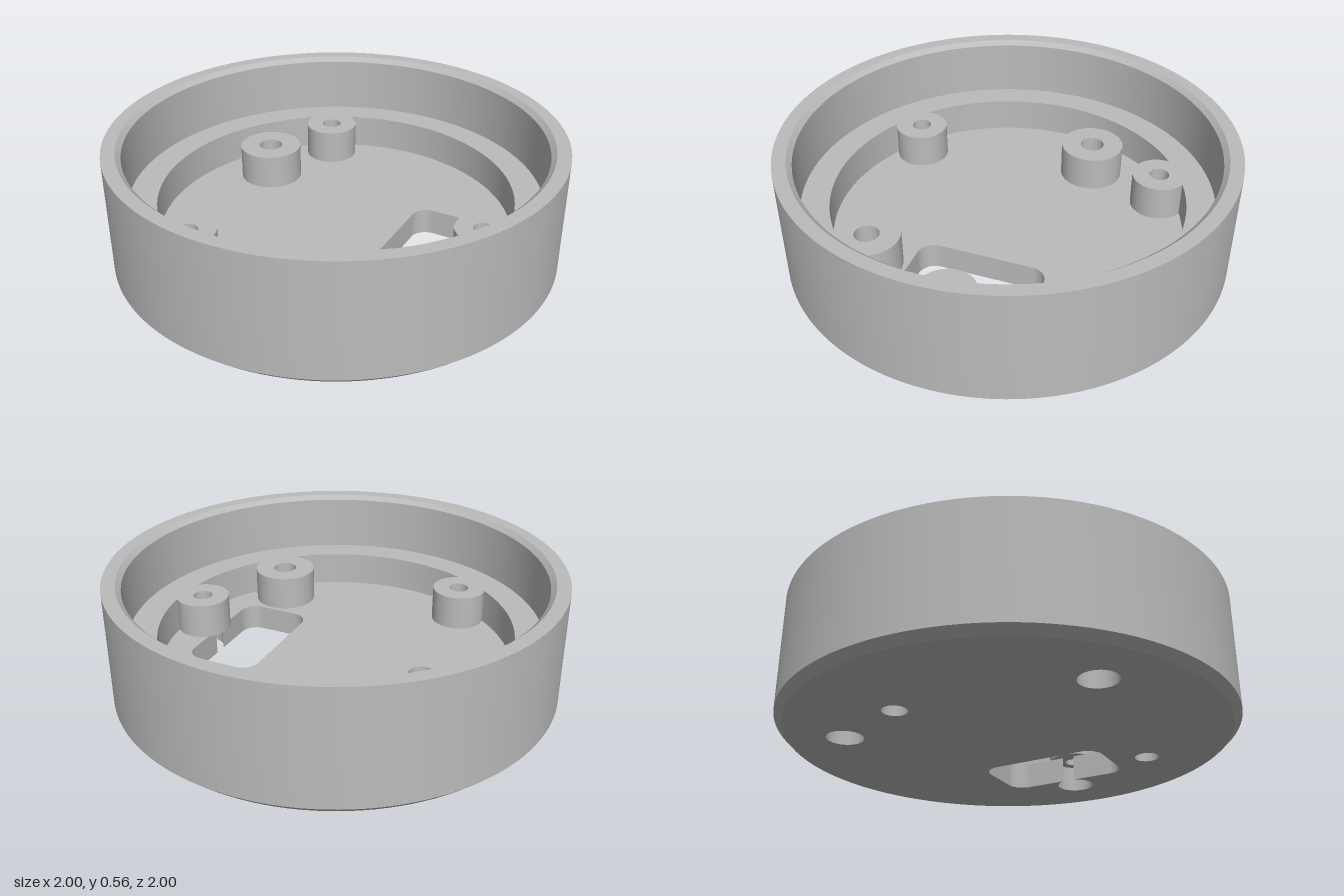
import * as THREE from 'three';
import { toCreasedNormals } from 'three/addons/utils/BufferGeometryUtils.js';

const FLOOR = 0.12, LEDGE = 0.28, POCKET = 0.79;

// Screw bosses: x, z, outer radius, bore above the floor, bore through the floor
const bosses = [
  { x: 0.7, z: 0, r: 0.123, bore: 0.045, under: 0.085 },
  { x: 0.495, z: 0.453, r: 0.145, bore: 0.055, under: 0.055 },
  { x: -0.38, z: 0.595, r: 0.123, bore: 0.045, under: 0.083 },
  { x: -0.357, z: -0.61, r: 0.123, bore: 0.045, under: 0.083 },
];
const post = { x: -0.5, z: -0.25, r: 0.145, bore: 0.055, under: 0.055 };

const circle = (x, z, r, Type = THREE.Path) => new Type().absarc(x, z, r, 0, Math.PI * 2, false);

// Extrudes a plan outline (x, z) between two heights
function slab(shape, bottom, top) {
  const g = new THREE.ExtrudeGeometry(shape, { depth: top - bottom, bevelEnabled: false, curveSegments: 36 });
  g.rotateX(Math.PI / 2).translate(0, top, 0);
  return toCreasedNormals(g, 0.5);
}

// Rounded window whose right edge breaks into the neighbouring counterbore
function windowPath() {
  const x0 = 0.285, x1 = 0.62, h = 0.29, c = 0.075, b = bosses[0];
  const a = Math.acos((x1 - b.x) / b.under);
  const p = new THREE.Path();
  p.absarc(x1 - c, -h + c, c, -Math.PI / 2, 0, false);
  p.absarc(b.x, b.z, b.under, -a, a, false);
  p.absarc(x1 - c, h - c, c, 0, Math.PI / 2, false);
  p.absarc(x0 + c, h - c, c, Math.PI / 2, Math.PI, false);
  p.absarc(x0 + c, -h + c, c, Math.PI, Math.PI * 1.5, false);
  p.closePath();
  return p;
}

// Round pocket notched by each boss that merges with the ledge
function pocketPath() {
  const notches = bosses.map((b) => {
    const d = Math.hypot(b.x, b.z);
    let phi = Math.atan2(b.z, b.x);
    if (phi < -0.001) phi += Math.PI * 2;
    const alpha = Math.acos((POCKET ** 2 + d * d - b.r ** 2) / (2 * POCKET * d));
    const beta = Math.atan2(POCKET * Math.sin(alpha), POCKET * Math.cos(alpha) - d);
    return { b, phi, alpha, beta };
  });
  const p = new THREE.Path();
  notches.forEach((n, i) => {
    const next = notches[(i + 1) % notches.length];
    const nextPhi = next.phi + (i === notches.length - 1 ? Math.PI * 2 : 0);
    p.absarc(n.b.x, n.b.z, n.b.r, n.phi - n.beta, n.phi + n.beta, true);
    p.absarc(0, 0, POCKET, n.phi + n.alpha, nextPhi - next.alpha, false);
  });
  p.closePath();
  return p;
}

export function createModel() {
  const group = new THREE.Group();
  const grey = new THREE.MeshStandardMaterial({ color: 0xbbbbbb });
  grey.name = 'grey';
  const add = (name, geometry) => {
    const mesh = new THREE.Mesh(geometry, grey);
    mesh.name = name;
    group.add(mesh);
  };

  // Outer wall with chamfered foot and bevelled inner lip
  const profile = [[0.94, 0], [0.965, 0], [1, 0.035], [1, 0.556], [0.94, 0.556], [0.918, 0.535], [0.918, 0.27]];
  const wall = new THREE.LatheGeometry(profile.map(([x, y]) => new THREE.Vector2(x, y)), 128);
  add('outerWall', toCreasedNormals(wall, 0.5));

  // Floor with window, counterbores and screw holes
  const floor = circle(0, 0, 0.95, THREE.Shape);
  floor.holes.push(windowPath());
  for (const b of [...bosses.slice(1), post]) floor.holes.push(circle(b.x, b.z, b.under));
  add('floor', slab(floor, 0, FLOOR));

  // Raised ledge joined to four bosses
  const ledge = circle(0, 0, 0.93, THREE.Shape);
  ledge.holes.push(pocketPath());
  for (const b of bosses) ledge.holes.push(circle(b.x, b.z, b.bore));
  add('ledgeWithBosses', slab(ledge, FLOOR, LEDGE));

  // Free-standing boss
  const ring = circle(post.x, post.z, post.r, THREE.Shape);
  ring.holes.push(circle(post.x, post.z, post.bore));
  add('freeBoss', slab(ring, FLOOR, LEDGE));

  return group;
}
